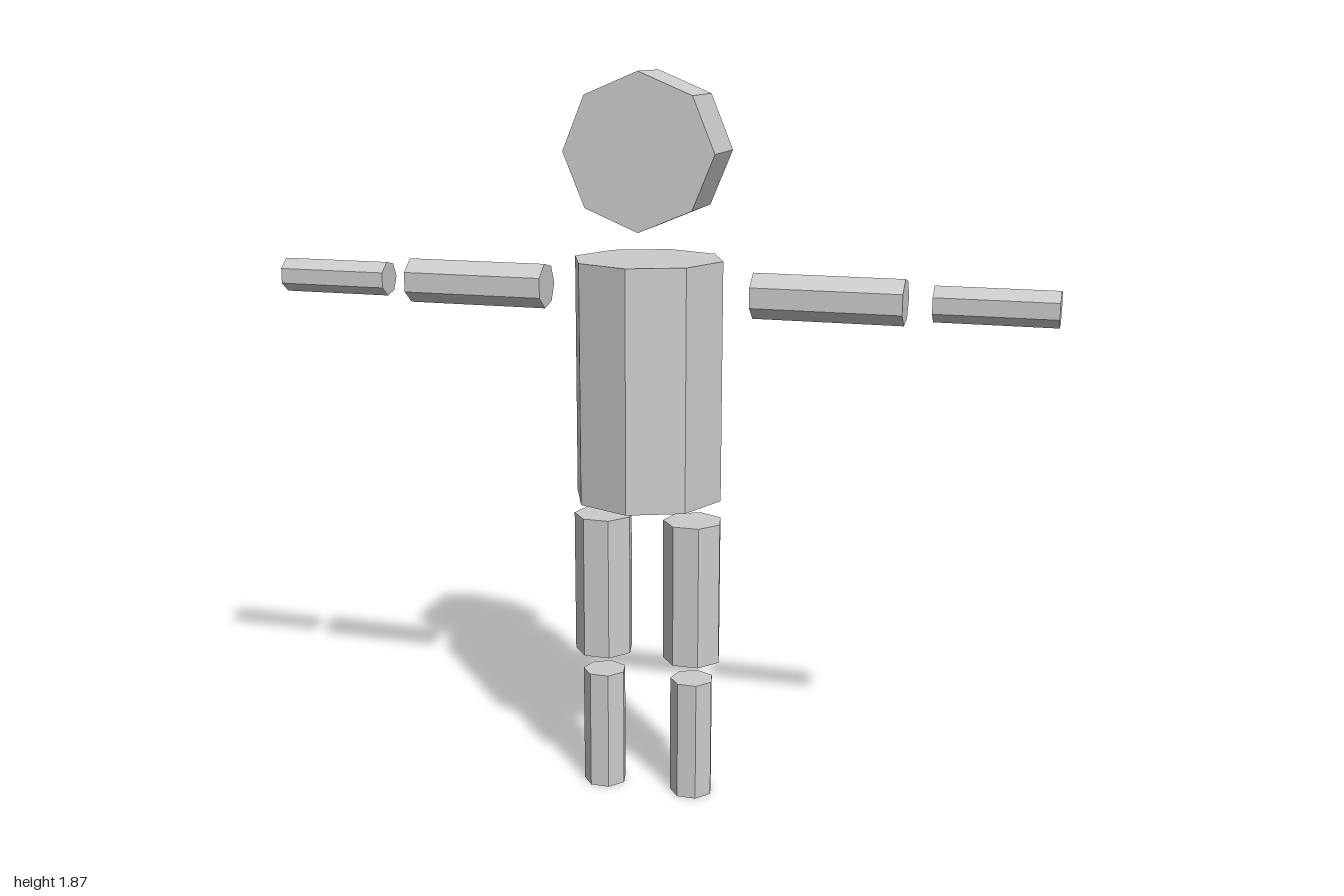
import * as THREE from 'three';

const material = new THREE.MeshStandardMaterial({ color: 0xcccccc, flatShading: true });

// Upright prism with one corner pointing straight back
function prism(name, radius, length, sides) {
  const geometry = new THREE.CylinderGeometry(radius, radius, length, sides, 1, false, Math.PI);
  const mesh = new THREE.Mesh(geometry, material);
  mesh.name = name;
  return mesh;
}

export function createModel() {
  const model = new THREE.Group();
  model.name = 'blockFigure';

  // Head: octagonal disc facing the front
  const head = prism('head', 0.191, 0.177, 8);
  head.rotation.x = Math.PI / 2;
  head.position.y = 1.682;
  model.add(head);

  // Torso: upright octagonal prism
  const torso = prism('torso', 0.192, 0.61, 8);
  torso.position.y = 1.113;
  model.add(torso);

  // Limbs: separate seven-sided segments, mirrored left and right
  for (const [side, s] of [['left', 1], ['right', -1]]) {
    // Arms stretched out sideways: name, radius, inner x, outer x
    for (const [part, radius, inner, outer] of [
      ['UpperArm', 0.058, 0.27, 0.64],
      ['Forearm', 0.045, 0.708, 1],
    ]) {
      const arm = prism(side + part, radius, outer - inner, 7);
      arm.rotation.z = Math.PI / 2;
      arm.position.set(s * (inner + outer) / 2, 1.339, 0);
      model.add(arm);
    }

    // Legs: name, radius, bottom y, top y
    for (const [part, radius, bottom, top] of [
      ['Thigh', 0.077, 0.376, 0.75],
      ['Shin', 0.057, 0, 0.318],
    ]) {
      const leg = prism(side + part, radius, top - bottom, 7);
      leg.position.set(s * 0.12, (bottom + top) / 2, 0);
      model.add(leg);
    }
  }

  return model;
}
